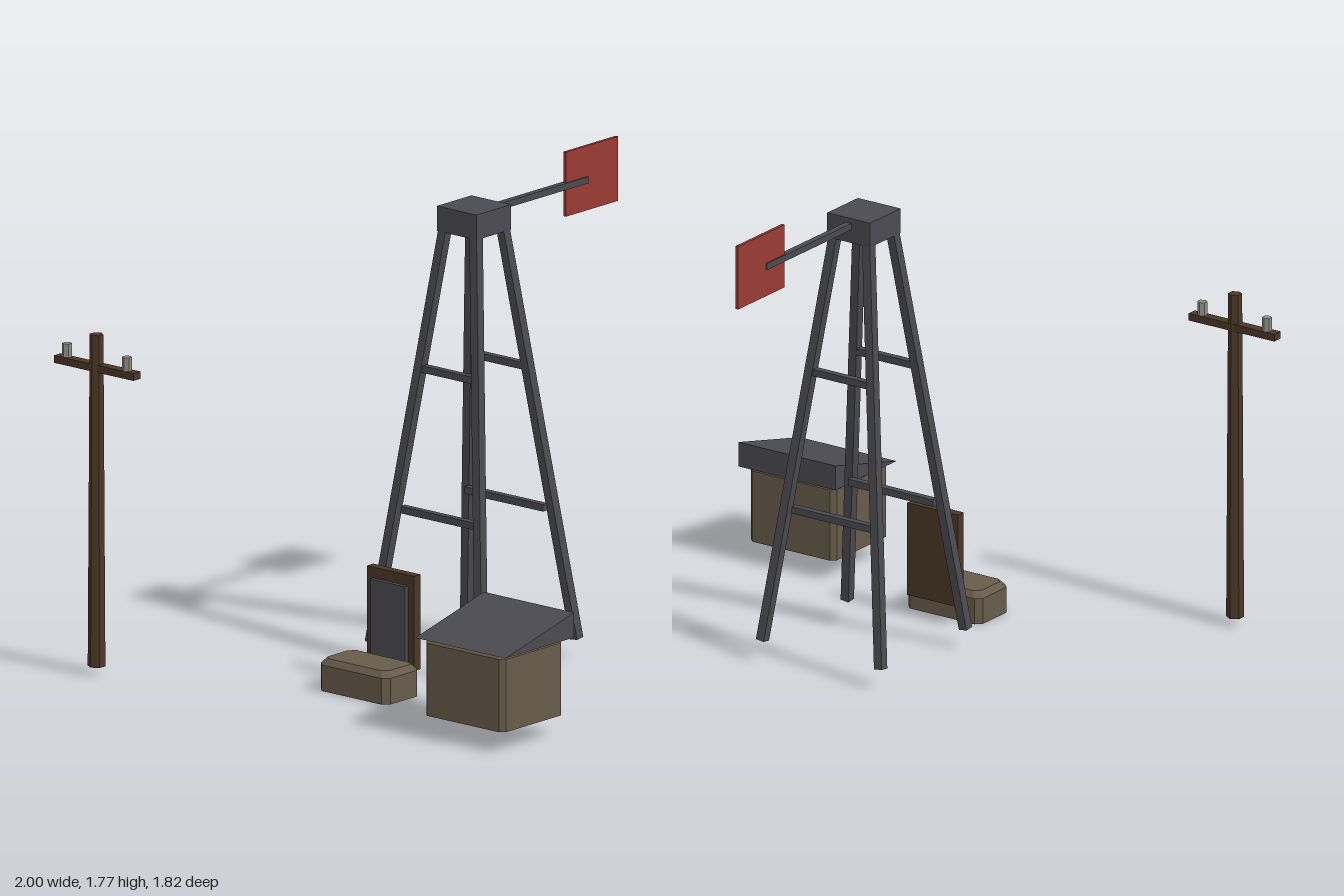
import * as THREE from 'three';

const mat = (name, color, side = THREE.FrontSide) => {
  const m = new THREE.MeshStandardMaterial({ color, side, flatShading: true });
  m.name = name;
  return m;
};

export function createModel() {
  const steel = mat('dark steel', 0x4b4a50);
  const wood = mat('dark wood', 0x4a3727);
  const plaster = mat('drab plaster', 0x675b4a, THREE.DoubleSide);
  const red = mat('vane red', 0x9a3a33);
  const ceramic = mat('pale ceramic', 0x8f8d84);

  const model = new THREE.Group();
  model.name = 'windPumpYard';
  const group = (name, x, z) => {
    const g = new THREE.Group();
    g.name = name;
    g.position.set(x, 0, z);
    model.add(g);
    return g;
  };
  const add = (parent, name, geometry, material, x = 0, y = 0, z = 0) => {
    const m = new THREE.Mesh(geometry, material);
    m.name = name;
    m.position.set(x, y, z);
    parent.add(m);
    return m;
  };
  const box = (w, h, d) => new THREE.BoxGeometry(w, h, d);

  // Box with chamfered corners and top rim, open underneath, standing on y = 0
  const chamferedShell = (w, h, d, c) => {
    const ring = (y, inset) => {
      const a = w / 2 - inset, b = d / 2 - inset;
      return [[a, b - c], [a - c, b], [c - a, b], [-a, b - c],
        [-a, c - b], [c - a, -b], [a - c, -b], [a, c - b]].map(([x, z]) => [x, y, z]);
    };
    const rings = [ring(0, 0), ring(h - c, 0), ring(h, c * 0.8)];
    const pos = [];
    for (let r = 0; r < 2; r++) {
      for (let i = 0; i < 8; i++) {
        const j = (i + 1) % 8, lo = rings[r], hi = rings[r + 1];
        pos.push(...lo[i], ...hi[i], ...lo[j], ...lo[j], ...hi[i], ...hi[j]);
      }
    }
    for (let i = 1; i < 7; i++) pos.push(...rings[2][0], ...rings[2][i + 1], ...rings[2][i]);
    const g = new THREE.BufferGeometry();
    g.setAttribute('position', new THREE.Float32BufferAttribute(pos, 3));
    g.computeVertexNormals();
    return g;
  };

  // Tower: four leaning legs, cross braces front and back, head block
  const tower = group('tower', 0.079, -0.138);
  const up = new THREE.Vector3(0, 1, 0);
  for (const sx of [-1, 1]) {
    for (const sz of [-1, 1]) {
      const foot = new THREE.Vector3(sx * 0.258, 0.075, sz * 0.258);
      const top = new THREE.Vector3(sx * 0.069, 1.62, sz * 0.069);
      const dir = top.clone().sub(foot);
      const leg = add(tower, 'towerLeg', box(0.034, dir.length(), 0.034), steel);
      leg.position.copy(foot).add(top).multiplyScalar(0.5);
      leg.quaternion.setFromUnitVectors(up, dir.normalize());
    }
  }
  for (const sz of [-1, 1]) {
    add(tower, 'lowerBrace', box(0.37, 0.026, 0.026), steel, 0, 0.56, sz * 0.174);
    add(tower, 'upperBrace', box(0.25, 0.026, 0.026), steel, 0, 1.08, sz * 0.133);
  }
  add(tower, 'headBlock', box(0.187, 0.092, 0.187), steel, 0, 1.628, 0);

  // Tail rod and vane
  add(tower, 'tailRod', box(0.024, 0.024, 0.54), steel, 0, 1.644, -0.335);
  add(tower, 'tailVane', box(0.012, 0.237, 0.283), red, 0, 1.65, -0.632);

  // Utility pole
  const pole = group('utilityPole', -0.813, 0.877);
  add(pole, 'poleShaft', new THREE.CylinderGeometry(0.025, 0.032, 1.22, 6), wood, 0, 0.64, 0);
  add(pole, 'crossarm', box(0.374, 0.027, 0.038), wood, 0, 1.128, -0.003);
  for (const sx of [-1, 1]) {
    add(pole, 'insulator', new THREE.CylinderGeometry(0.018, 0.018, 0.05, 6), ceramic, sx * 0.141, 1.166, -0.003);
  }

  // Shed with a single-slope roof, high at the back
  const shed = group('shed', 0.788, 0.568);
  add(shed, 'shedWalls', chamferedShell(0.375, 0.285, 0.333, 0.018), plaster, 0, 0.075, 0.005);
  const wedge = new THREE.Shape([
    new THREE.Vector2(-0.186, 0), new THREE.Vector2(0.186, 0), new THREE.Vector2(0.186, 0.092),
  ]);
  const roof = add(shed, 'shedRoof',
    new THREE.ExtrudeGeometry(wedge, { depth: 0.423, bevelEnabled: false }), steel, -0.211, 0.357, 0);
  roof.rotation.y = Math.PI / 2;

  // Doorway with a step in front
  const doorway = group('doorway', 0.08, 0);
  add(doorway, 'doorFrame', box(0.222, 0.348, 0.035), wood, 0, 0.249, 0.298);
  add(doorway, 'doorPanel', box(0.165, 0.308, 0.018), steel, 0, 0.229, 0.323);
  add(doorway, 'doorStep', chamferedShell(0.326, 0.118, 0.187, 0.022), plaster, 0, 0, 0.432);

  return model;
}
